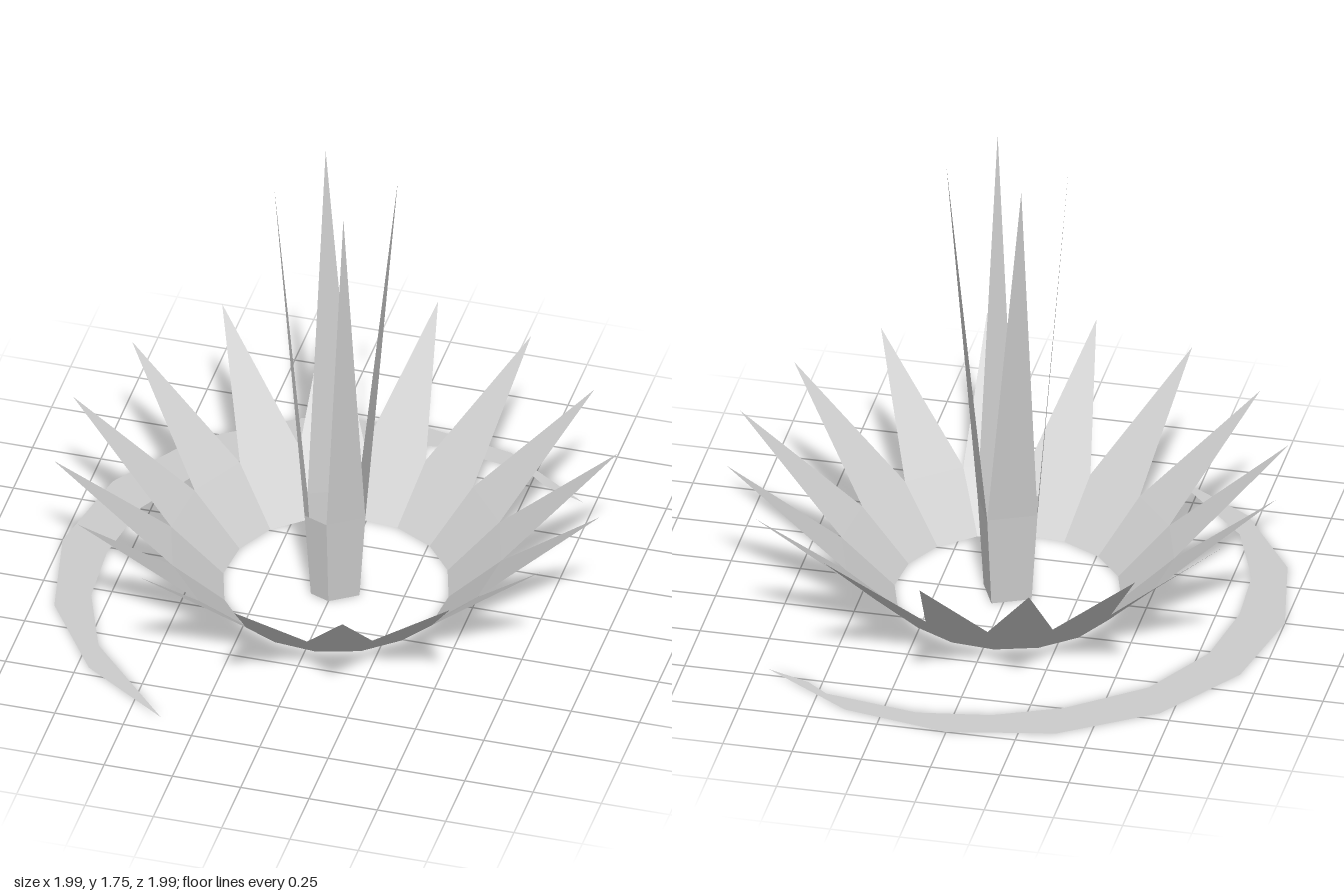
import * as THREE from 'three';

const material = new THREE.MeshStandardMaterial({ color: 0xcccccc, flatShading: true, side: THREE.DoubleSide });

function addMesh(group, name, geometry) {
  const mesh = new THREE.Mesh(geometry, material);
  mesh.name = name;
  group.add(mesh);
}

// Band between two rings of points, with a pointed blade on each edge that has a tip.
function crown(lower, upper, tips) {
  const positions = [];
  const tri = (...points) => points.forEach((p) => positions.push(p.x, p.y, p.z));
  lower.forEach((a, i) => {
    const j = (i + 1) % lower.length;
    tri(a, upper[i], lower[j]);
    tri(lower[j], upper[i], upper[j]);
    if (tips[i]) tri(upper[i], tips[i], upper[j]);
  });
  const geometry = new THREE.BufferGeometry();
  geometry.setAttribute('position', new THREE.Float32BufferAttribute(positions, 3));
  geometry.computeVertexNormals();
  return geometry;
}

const ring = (n, radius, y, start) => Array.from({ length: n }, (_, i) => {
  const a = start + (i / n) * Math.PI * 2;
  return new THREE.Vector3(Math.cos(a) * radius, y, Math.sin(a) * radius);
});

export function createModel() {
  const model = new THREE.Group();

  // Open flared bowl with sixteen pointed petals
  const quarter = Math.PI / 32;
  addMesh(model, 'petalBowl', crown(
    ring(16, 0.403, 0, -quarter),
    ring(16, 0.59, 0.18, -quarter),
    ring(16, 0.995, 0.56, quarter),
  ));

  // Five-sided central tube; four of its sides rise into tall blades
  const corners = [[0.05, -0.112], [0.12, 0.045], [0, 0.125], [-0.09, 0.09], [-0.115, -0.038]];
  const points = [[0.205, -0.075], [0.08, 0.19], null, [-0.205, 0.075], [-0.09, -0.187]];
  addMesh(model, 'centreBlades', crown(
    corners.map(([x, z]) => new THREE.Vector3(x * 0.8, 0, z * 0.8)),
    corners.map(([x, z]) => new THREE.Vector3(x, 0.35, z)),
    points.map((p) => p && new THREE.Vector3(p[0], 1.75, p[1])),
  ));

  // Flat crescent on the ground: outer arc, then the tapering inner edge
  const outline = [];
  for (let i = 0; i <= 9; i++) {
    const a = -Math.PI / 4 - (i * Math.PI) / 8;
    outline.push(new THREE.Vector2(Math.cos(a), -Math.sin(a)));
  }
  const inner = [[-0.71, 0.57], [-0.815, 0.29], [-0.83, 0.03], [-0.785, -0.26], [-0.63, -0.54],
    [-0.37, -0.745], [-0.13, -0.85], [0.13, -0.89], [0.47, -0.83], [0.55, -0.765]];
  inner.forEach(([x, z]) => outline.push(new THREE.Vector2(x, -z)));
  addMesh(model, 'groundCrescent', new THREE.ShapeGeometry(new THREE.Shape(outline)).rotateX(-Math.PI / 2));

  return model;
}
